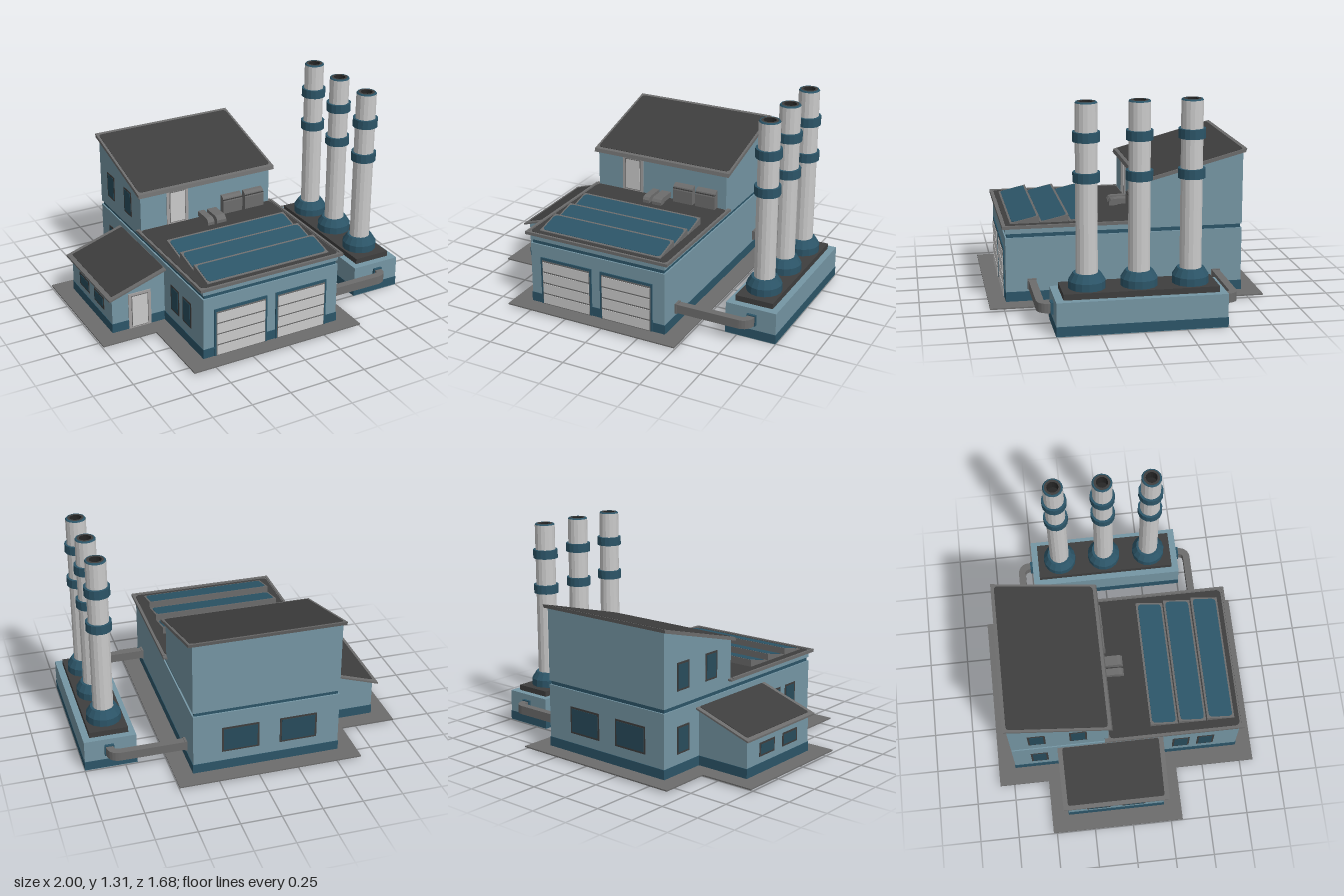
import * as THREE from 'three';

const mat = (name, color) => Object.assign(new THREE.MeshStandardMaterial({ color }), { name });

export function createModel() {
  const root = new THREE.Group();
  root.name = 'factory';
  const wall = mat('wallBlue', 0x7596a4);
  const teal = mat('darkTeal', 0x2c5568);
  const roofDark = mat('roofCharcoal', 0x3e3e3e);
  const grey = mat('trimGrey', 0x6c6c6c);
  const light = mat('paleGrey', 0xcacaca);
  const glass = mat('windowGlass', 0x284c5c);
  const doorGrey = mat('doorFrameGrey', 0xa3a1a1);
  const black = mat('sootBlack', 0x262626);

  const add = (name, geo, material, parent = root) => {
    const m = new THREE.Mesh(geo, material);
    m.name = name;
    parent.add(m);
    return m;
  };
  // Box given by its limits on each axis
  const box = (name, m, x0, x1, y0, y1, z0, z1, parent) =>
    add(name, new THREE.BoxGeometry(x1 - x0, y1 - y0, z1 - z0)
      .translate((x0 + x1) / 2, (y0 + y1) / 2, (z0 + z1) / 2), m, parent);
  const polygon = pts => new THREE.Shape(pts.map(p => new THREE.Vector2(...p)));
  const extrude = (pts, depth) => new THREE.ExtrudeGeometry(polygon(pts), { depth, bevelEnabled: false });
  // Prism with a (z, y) profile running from x0 to x1
  const prismX = (name, m, pts, x0, x1) =>
    add(name, extrude(pts, x1 - x0).rotateY(-Math.PI / 2).translate(x1, 0, 0), m);
  // Prism with an (x, y) profile running from z0 to z1
  const prismZ = (name, m, pts, z0, z1) =>
    add(name, extrude(pts, z1 - z0).translate(0, 0, z0), m);
  // Thin round-cornered plate lying flat, facing up
  const plateGeo = (w, d, r, t = 0.006) => {
    const s = new THREE.Shape(), x = w / 2, y = d / 2;
    s.moveTo(-x + r, -y);
    s.lineTo(x - r, -y).quadraticCurveTo(x, -y, x, -y + r);
    s.lineTo(x, y - r).quadraticCurveTo(x, y, x - r, y);
    s.lineTo(-x + r, y).quadraticCurveTo(-x, y, -x, y - r);
    s.lineTo(-x, -y + r).quadraticCurveTo(-x, -y, -x + r, -y);
    return new THREE.ExtrudeGeometry(s, { depth: t, bevelEnabled: false, curveSegments: 4 })
      .rotateX(-Math.PI / 2);
  };

  // Paved ground slab
  box('pavement', grey, -0.65, 0.5, 0.012, 0.02, -0.843, 0.837);
  box('sidePavement', grey, -1, -0.65, 0.012, 0.02, -0.522, 0.325);

  // Main building: low garage in front, tall hall behind, with a recessed band
  box('lowerWalls', wall, -0.535, 0.385, 0.015, 0.417, -0.73, 0.73);
  box('recessedBand', teal, -0.526, 0.376, 0.417, 0.442, -0.721, 0.721);
  prismX('upperWalls', wall, [[-0.73, 0.442], [0.73, 0.442], [0.73, 0.48], [-0.11, 0.48],
    [-0.11, 0.73], [-0.73, 0.9]], -0.535, 0.385);
  box('mainPlinth', teal, -0.538, 0.388, 0.015, 0.08, -0.733, 0.733);

  // Flat garage roof
  box('garageRoof', grey, -0.56, 0.41, 0.477, 0.49, -0.135, 0.75);
  add('garageRoofSurface', plateGeo(0.93, 0.83, 0.03, 0.004), roofDark).position.set(-0.075, 0.488, 0.31);
  for (const [x0, x1] of [[-0.56, -0.545], [0.395, 0.41]])
    box('garageRoofRim', grey, x0, x1, 0.49, 0.496, -0.11, 0.75);
  box('garageRoofRim', grey, -0.545, 0.395, 0.49, 0.496, 0.735, 0.75);

  // Sloping hall roof
  prismX('hallRoof', grey, [[-0.085, 0.722], [-0.092, 0.745], [-0.747, 0.92], [-0.74, 0.897]], -0.555, 0.41);
  const hallTilt = Math.atan2(0.175, 0.655);
  add('hallRoofSurface', plateGeo(0.935, 0.635, 0.025, 0.003).rotateX(hallTilt), roofDark)
    .position.set(-0.0725, 0.8315, -0.4195);

  // Saw-tooth skylights with glass almost flush in the frame
  const skyTilt = Math.atan2(0.04, 0.176);
  for (const z of [0.16, 0.34, 0.52]) {
    prismX('skylightFrame', grey, [[z, 0.49], [z + 0.176, 0.49], [z + 0.176, 0.496], [z, 0.536]], -0.488, 0.338);
    add('skylightGlass', plateGeo(0.805, 0.155, 0.025, 0.004).rotateX(skyTilt), teal)
      .position.set(-0.075, 0.5135, z + 0.088);
  }

  // Side annex with lean-to roof
  prismZ('annexWalls', wall, [[-0.888, 0.015], [-0.53, 0.015], [-0.53, 0.372], [-0.888, 0.256]], -0.41, 0.21);
  box('annexPlinth', teal, -0.891, -0.535, 0.015, 0.08, -0.413, 0.213);
  prismZ('annexRoof', grey, [[-0.915, 0.25], [-0.535, 0.374], [-0.535, 0.385], [-0.915, 0.261]], -0.44, 0.24);
  add('annexRoofSurface', plateGeo(0.37, 0.62, 0.015, 0.004).rotateZ(Math.atan2(0.124, 0.38)), roofDark)
    .position.set(-0.713, 0.3255, -0.1);

  // Windows: thin frame and pane, turned to face outward
  const windowAt = (x, y, z, w, h, turn) => {
    const g = new THREE.Group();
    g.name = 'window';
    box('windowFrame', roofDark, -w / 2, w / 2, -h / 2, h / 2, -0.002, 0.003, g);
    box('windowPane', glass, -w / 2 + 0.012, w / 2 - 0.012, -h / 2 + 0.012, h / 2 - 0.012, 0, 0.005, g);
    g.position.set(x, y, z);
    g.rotation.y = turn;
    root.add(g);
  };
  for (const x of [-0.275, 0.09]) windowAt(x, 0.227, -0.73, 0.235, 0.17, Math.PI);
  for (const [y, z] of [[0.227, -0.56], [0.61, -0.56], [0.61, -0.3], [0.227, 0.36], [0.227, 0.52]])
    windowAt(-0.535, y, z, 0.11, 0.17, -Math.PI / 2);
  for (const z of [-0.215, 0.015]) windowAt(-0.888, 0.163, z, 0.15, 0.085, -Math.PI / 2);

  // Personnel doors
  const doorAt = (x, y, z, h) => {
    const g = new THREE.Group();
    g.name = 'door';
    box('doorFrame', doorGrey, -0.075, 0.075, 0, h, -0.002, 0.006, g);
    box('doorGap', grey, -0.056, 0.056, 0.008, h - 0.016, 0, 0.0075, g);
    box('doorLeaf', light, -0.051, 0.051, 0.012, h - 0.021, 0, 0.009, g);
    g.position.set(x, y, z);
    root.add(g);
  };
  doorAt(-0.705, 0.02, 0.21, 0.24);
  doorAt(-0.28, 0.492, -0.11, 0.235);

  // Roller garage doors with four slats each
  for (const x of [-0.287, 0.128]) {
    box('garageDoorFrame', teal, x - 0.178, x + 0.178, 0.018, 0.335, 0.72, 0.737);
    box('garageDoorGaps', grey, x - 0.166, x + 0.166, 0.02, 0.318, 0.73, 0.7385);
    for (let i = 0; i < 4; i++)
      box('garageDoorSlat', light, x - 0.162, x + 0.162, 0.026 + i * 0.073, 0.089 + i * 0.073, 0.73, 0.741);
  }

  // Roof equipment: cabinets on the hall wall and low bent ducts
  for (const x of [0.03, 0.188]) {
    prismX('coolingCabinet', grey, [[-0.112, 0.49], [-0.068, 0.49], [-0.068, 0.575], [-0.075, 0.597],
      [-0.09, 0.608], [-0.112, 0.612]], x, x + 0.137);
    box('cabinetLine', roofDark, x, x + 0.137, 0.585, 0.59, -0.1, -0.066);
  }
  for (const [x0, x1] of [[-0.135, -0.09], [-0.07, -0.005]])
    prismX('roofDuct', grey, [[-0.112, 0.5], [-0.02, 0.5], [-0.02, 0.49], [0.032, 0.49], [0.032, 0.512],
      [0.02, 0.528], [0, 0.534], [-0.112, 0.534]], x0, x1);

  // Chimney block
  box('chimneyBlock', wall, 0.675, 0.997, 0, 0.2, -0.49, 0.503);
  box('chimneyBlockBase', teal, 0.673, 0.999, 0.002, 0.06, -0.492, 0.505);
  box('chimneyBlockUnderside', wall, 0.673, 0.999, 0, 0.002, -0.492, 0.505);
  box('chimneyPlate', roofDark, 0.715, 0.955, 0.2, 0.235, -0.448, 0.457);

  // Chimneys
  const lathe = pts => {
    const g = new THREE.LatheGeometry(pts.map(p => new THREE.Vector2(...p)), 16).toNonIndexed();
    g.computeVertexNormals();
    return g;
  };
  for (const z of [-0.3, 0.002, 0.306]) {
    const g = new THREE.Group();
    g.name = 'chimney';
    g.position.set(0.835, 0, z);
    root.add(g);
    add('chimneyFoot', lathe([[0.108, 0.235], [0.108, 0.28], [0.08, 0.325], [0.06, 0.325]]), teal, g);
    add('chimneyStack', lathe([[0.064, 0.3], [0.064, 1.302]]), light, g);
    add('chimneyLip', lathe([[0.064, 1.302], [0.058, 1.31], [0.052, 1.31]]), teal, g);
    add('chimneyRim', lathe([[0.052, 1.31], [0.037, 1.31]]), roofDark, g);
    add('chimneyMouth', lathe([[0.037, 1.31], [0.037, 1.24], [0, 1.24]]), black, g);
    for (const y of [0.855, 1.085])
      add('chimneyRing', lathe([[0.06, y], [0.079, y], [0.079, y + 0.056], [0.06, y + 0.056]]), teal, g);
  }

  // Square bent pipes from the building to each end of the chimney block
  const section = polygon([[-0.023, -0.028], [0.023, -0.028], [0.023, 0.028], [-0.023, 0.028]]);
  for (const [s, zPipe, zEnd] of [[1, 0.573, 0.503], [-1, -0.567, -0.49]]) {
    const v = (x, z) => new THREE.Vector3(x, 0.128, z);
    const path = new THREE.CurvePath();
    path.add(new THREE.LineCurve3(v(0.38, zPipe), v(0.79, zPipe)));
    path.add(new THREE.QuadraticBezierCurve3(v(0.79, zPipe), v(0.845, zPipe), v(0.845, zEnd + s * 0.018)));
    path.add(new THREE.LineCurve3(v(0.845, zEnd + s * 0.018), v(0.845, zEnd - s * 0.01)));
    add('pipe', new THREE.ExtrudeGeometry(section, { steps: 40, extrudePath: path }), grey);
    add('pipeFlange', new THREE.BoxGeometry(0.058, 0.07, 0.018), teal)
      .position.set(0.845, 0.128, zEnd + s * 0.008);
    add('pipeCollar', new THREE.BoxGeometry(0.014, 0.064, 0.054), grey).position.set(0.392, 0.128, zPipe);
  }
  return root;
}
